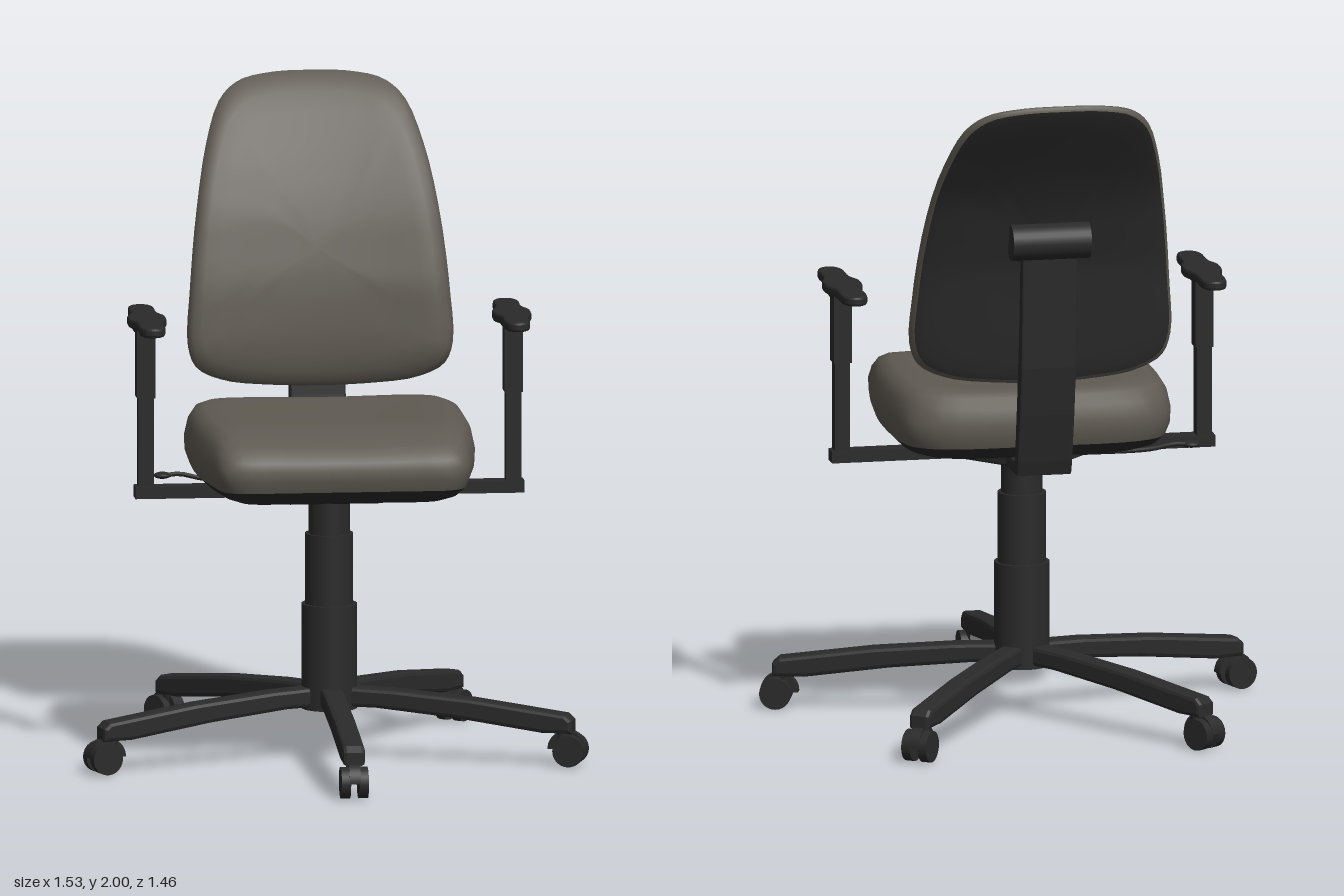
import * as THREE from 'three';

const fabric = new THREE.MeshStandardMaterial({ name: 'greyFabric', color: 0x5f5a52 });
const plastic = new THREE.MeshStandardMaterial({ name: 'blackPlastic', color: 0x2a2a2a });
const AXIS_Z = -0.065; // the column stands slightly behind the centre

function mesh(name, geometry, material, x = 0, y = 0, z = 0) {
  const m = new THREE.Mesh(geometry, material);
  m.name = name;
  m.position.set(x, y, z);
  return m;
}

const vectors = (pts) => pts.map(([x, y]) => new THREE.Vector2(x, y));

// Linear lookup in a list of [key, value]
function lookup(table, k) {
  let i = 0;
  while (i < table.length - 2 && k > table[i + 1][0]) i++;
  const [[a, p], [b, q]] = [table[i], table[i + 1]];
  return p + (q - p) * THREE.MathUtils.clamp((k - a) / (b - a), 0, 1);
}

// Closed smooth outline from its right half, bottom centre to top centre
function mirrorOutline(half) {
  const left = half.slice(1, -1).reverse().map(([x, y]) => [-x, y]);
  const pts = [...half, ...left].map(([x, y]) => new THREE.Vector3(x, y, 0));
  return new THREE.CatmullRomCurve3(pts, true).getPoints(72).slice(0, -1);
}

// Cushion surface: scaled copies of an outline, one per layer [scale, height]
function cushion(outline, centre, layers, place) {
  const pos = [], index = [], n = outline.length;
  layers.forEach(([s, h], i) => outline.forEach((p, j) => {
    pos.push(...place(p.x * s, centre + (p.y - centre) * s, h));
    if (i === 0) return;
    const k = (j + 1) % n, a = (i - 1) * n, b = i * n;
    index.push(a + j, b + j, b + k, a + j, b + k, a + k);
  }));
  const g = new THREE.BufferGeometry();
  g.setAttribute('position', new THREE.Float32BufferAttribute(pos, 3));
  g.setIndex(index);
  g.computeVertexNormals();
  return g;
}

// Side profile [z, y] given a width along x
function sideExtrude(profile, width, bevel = 0.006) {
  const g = new THREE.ExtrudeGeometry(new THREE.Shape(vectors(profile)), {
    depth: width - 2 * bevel, bevelThickness: bevel, bevelSize: bevel, bevelOffset: -bevel, bevelSegments: 2,
  });
  return g.translate(0, 0, -width / 2 + bevel).rotateY(-Math.PI / 2);
}

// Plan outline [x, z] given a thickness, hanging down from y = 0
function plate(shape, thickness, bevel = 0.005) {
  const g = new THREE.ExtrudeGeometry(shape, {
    depth: thickness - 2 * bevel, bevelThickness: bevel, bevelSize: bevel, bevelOffset: -bevel, bevelSegments: 2,
  });
  return g.translate(0, 0, bevel).rotateX(Math.PI / 2);
}

function makeSeat() {
  const seat = new THREE.Group();
  seat.name = 'seat';
  const outline = mirrorOutline([[0, -0.43], [0.2, -0.43], [0.32, -0.428], [0.37, -0.4], [0.4, -0.28],
    [0.425, -0.1], [0.43, 0.1], [0.42, 0.25], [0.39, 0.33], [0.3, 0.38], [0, 0.39]]);
  // The top is a shallow saddle that rolls down at the front edge
  const place = (x, v, y) => {
    const top = THREE.MathUtils.clamp((y - 0.95) / 0.1, 0, 1);
    const roll = Math.max(0, -v - 0.18) ** 2 * 0.9;
    return [x, y + top * (0.07 * x * x - roll), -v];
  };
  seat.add(mesh('seatCushion', cushion(outline, -0.02, [[0, 1.055], [0.3, 1.055], [0.55, 1.057], [0.75, 1.058],
    [0.86, 1.054], [0.93, 1.04], [0.975, 1.01], [1, 0.965], [0.995, 0.925], [0.965, 0.89]], place), fabric));
  seat.add(mesh('seatPan', cushion(outline, -0.02,
    [[0.965, 0.89], [0.9, 0.862], [0.8, 0.845], [0.65, 0.837], [0, 0.836]], place), plastic));
  return seat;
}

function makeBackrest() {
  const back = new THREE.Group();
  back.name = 'backrest';
  const outline = mirrorOutline([[0, 1.085], [0.15, 1.09], [0.29, 1.108], [0.375, 1.15], [0.402, 1.22], [0.395, 1.37],
    [0.37, 1.6], [0.33, 1.8], [0.28, 1.925], [0.22, 1.975], [0.12, 1.996], [0, 2.0]]);
  const front = [[1.08, -0.345], [1.2, -0.325], [1.4, -0.345], [1.6, -0.4], [1.75, -0.465], [1.92, -0.565], [2, -0.63]];
  const rear = [[1.08, -0.385], [1.2, -0.4], [1.45, -0.43], [1.67, -0.49], [1.82, -0.575], [1.97, -0.67], [2, -0.69]];
  // Edges wrap forward around the sitter
  const place = (x, y, t) => [x, y, THREE.MathUtils.lerp(lookup(rear, y), lookup(front, y), t) + 0.2 * x * x];
  back.add(mesh('backCushion', cushion(outline, 1.5, [[0, 1], [0.2, 1], [0.4, 1], [0.6, 1], [0.78, 1], [0.89, 0.96],
    [0.96, 0.84], [1, 0.55], [0.995, 0.32], [0.97, 0.16]], place), fabric));
  back.add(mesh('backShell', cushion(outline, 1.5,
    [[0.97, 0.16], [0.92, 0.04], [0.8, 0], [0.6, 0], [0.4, 0], [0.2, 0], [0, 0]], place), plastic));

  // Upright bar and the round pivot behind the shell
  back.add(mesh('backUpright', sideExtrude([[-0.3, 0.805], [-0.395, 0.805], [-0.41, 0.85], [-0.443, 1.0],
    [-0.467, 1.15], [-0.492, 1.54], [-0.455, 1.54], [-0.43, 1.25], [-0.402, 1.05], [-0.37, 0.86], [-0.35, 0.84],
    [-0.3, 0.84]], 0.17), plastic));
  back.add(mesh('backPivot', new THREE.CylinderGeometry(0.055, 0.055, 0.24, 28).rotateZ(Math.PI / 2),
    plastic, 0, 1.545, -0.478));
  return back;
}

function makeArmrest(side) {
  const arm = new THREE.Group();
  arm.name = side > 0 ? 'leftArmrest' : 'rightArmrest';
  const x = side * 0.557;
  arm.add(mesh('armBar', new THREE.BoxGeometry(0.45, 0.036, 0.058), plastic, side * 0.365, 0.82, -0.065));
  arm.add(mesh('armLowerPost', new THREE.BoxGeometry(0.046, 0.32, 0.05), plastic, x, 0.965, -0.065));
  arm.add(mesh('armUpperPost', new THREE.BoxGeometry(0.056, 0.21, 0.058), plastic, x, 1.215, -0.065));
  arm.add(mesh('armCup', new THREE.CylinderGeometry(0.05, 0.034, 0.025, 20), plastic, x, 1.322, -0.065));
  // Pad: long and rounded, swelling at the post
  const half = [[0, -0.293], [0.025, -0.283], [0.038, -0.255], [0.04, -0.15], [0.056, -0.1], [0.058, -0.065],
    [0.056, -0.03], [0.04, 0.02], [0.038, 0.12], [0.025, 0.15], [0, 0.16]];
  const pad = new THREE.Shape(mirrorOutline(half).map((p) => new THREE.Vector2(p.x, p.y)));
  arm.add(mesh('armPad', plate(pad, 0.03, 0.008), plastic, side * 0.553, 1.356, 0));
  return arm;
}

function makeLeg(angle) {
  const leg = new THREE.Group();
  leg.name = 'baseLeg';
  leg.position.z = AXIS_Z;
  leg.rotation.y = angle;
  leg.add(mesh('legBeam', sideExtrude([[0, 0.16], [0.15, 0.158], [0.4, 0.135], [0.66, 0.1], [0.755, 0.1],
    [0.755, 0.14], [0.735, 0.158], [0.45, 0.195], [0.2, 0.215], [0, 0.222]], 0.068, 0.012), plastic));
  // Twin wheel caster under a half-round hood
  const hood = new THREE.CylinderGeometry(0.058, 0.058, 0.034, 20, 1, false, 0, Math.PI);
  leg.add(mesh('casterHood', hood.rotateZ(Math.PI / 2), plastic, 0, 0.05, 0.735));
  leg.add(mesh('casterStem', new THREE.CylinderGeometry(0.022, 0.022, 0.06, 14), plastic, 0, 0.085, 0.72));
  for (const s of [-1, 1]) {
    const wheel = new THREE.CylinderGeometry(0.048, 0.048, 0.028, 24).rotateZ(Math.PI / 2);
    leg.add(mesh('casterWheel', wheel, plastic, s * 0.027, 0.048, 0.745));
  }
  return leg;
}

export function createModel() {
  const chair = new THREE.Group();
  chair.name = 'officeChair';
  chair.add(makeSeat(), makeBackrest(), makeArmrest(1), makeArmrest(-1));

  // Tilt mechanism plate narrowing towards the upright
  const plan = [[-0.14, 0.13], [0.14, 0.13], [0.2, 0.06], [0.2, -0.12], [0.085, -0.25], [0.085, -0.37],
    [-0.085, -0.37], [-0.085, -0.25], [-0.2, -0.12], [-0.2, 0.06]];
  chair.add(mesh('tiltMechanism', plate(new THREE.Shape(vectors(plan)), 0.038), plastic, 0, 0.843, 0));

  // Height lever under the right side of the seat
  const stem = new THREE.CatmullRomCurve3([[-0.15, 0.825, -0.2], [-0.36, 0.83, -0.215], [-0.44, 0.845, -0.225],
    [-0.49, 0.84, -0.22]].map((p) => new THREE.Vector3(...p)));
  chair.add(mesh('leverStem', new THREE.TubeGeometry(stem, 16, 0.007, 8), plastic));
  chair.add(mesh('leverKnob', new THREE.SphereGeometry(0.026, 16, 10).scale(1, 0.4, 1), plastic, -0.49, 0.842, -0.222));

  // Stepped gas column
  for (const [name, r, y0, y1] of [['columnSleeve', 0.084, 0.15, 0.47], ['columnMiddle', 0.073, 0.47, 0.685],
    ['columnTop', 0.063, 0.685, 0.815]]) {
    chair.add(mesh(name, new THREE.CylinderGeometry(r, r, y1 - y0, 32), plastic, 0, (y0 + y1) / 2, AXIS_Z));
  }

  // Five-legged base
  for (let i = 0; i < 5; i++) chair.add(makeLeg((i * Math.PI * 2) / 5));
  return chair;
}
